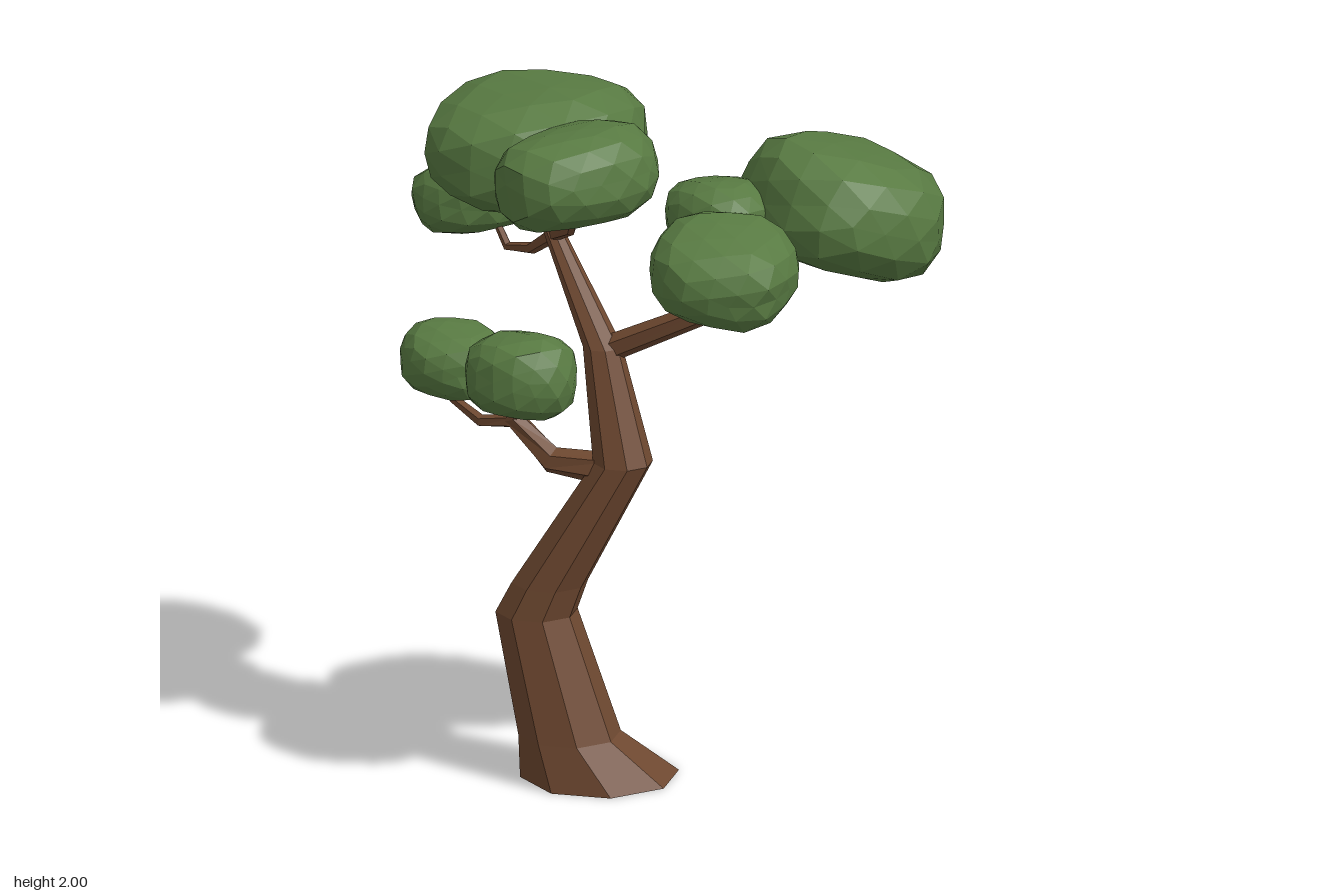
import * as THREE from 'three';

const bark = new THREE.MeshStandardMaterial({ color: 0x6e4830, flatShading: true });
const leaf = new THREE.MeshStandardMaterial({ color: 0x587a42, flatShading: true });

// Faceted limb through rings [x, y, z, radius]; level keeps every ring horizontal
function limb(name, rings, sides, level = false) {
  const points = rings.map(([x, y, z]) => new THREE.Vector3(x, y, z));
  const pos = [], index = [], n = rings.length;
  points.forEach((p, i) => {
    const t = level ? new THREE.Vector3(0, 1, 0)
      : points[Math.min(i + 1, n - 1)].clone().sub(points[Math.max(i - 1, 0)]).normalize();
    const u = new THREE.Vector3(0, 0, -1).cross(t).normalize();
    const v = t.clone().cross(u);
    for (let j = 0; j < sides; j++) {
      const a = (j / sides) * Math.PI * 2 + 0.31;
      const q = p.clone().addScaledVector(u, rings[i][3] * Math.cos(a)).addScaledVector(v, rings[i][3] * Math.sin(a));
      pos.push(q.x, q.y, q.z);
    }
  });
  for (let i = 0; i < n - 1; i++) {
    for (let j = 0; j < sides; j++) {
      const a = i * sides + j, b = i * sides + (j + 1) % sides;
      index.push(a, b, a + sides, b, b + sides, a + sides);
    }
  }
  // end caps
  const last = (n - 1) * sides;
  for (let j = 1; j < sides - 1; j++) index.push(0, j + 1, j, last, last + j, last + j + 1);
  const geo = new THREE.BufferGeometry();
  geo.setAttribute('position', new THREE.Float32BufferAttribute(pos, 3));
  geo.setIndex(index);
  geo.computeVertexNormals();
  const mesh = new THREE.Mesh(geo, bark);
  mesh.name = name;
  return mesh;
}

// Foliage pad: round from above, flattened top and bottom, slightly uneven
function pad(name, center, size, tiltX, tiltZ, seed) {
  const geo = new THREE.IcosahedronGeometry(1, 2);
  const p = geo.attributes.position, v = new THREE.Vector3();
  for (let i = 0; i < p.count; i++) {
    v.fromBufferAttribute(p, i);
    const bump = 1 + 0.03 * Math.sin(v.x * 5.1 + seed * 2.3) * Math.sin(v.y * 4.3 + seed) + 0.025 * Math.sin(v.z * 6.2 + seed * 1.7);
    const norm = Math.cbrt(Math.hypot(v.x, v.z) ** 3 + Math.abs(v.y) ** 3);
    v.multiplyScalar(bump / norm);
    p.setXYZ(i, v.x * size[0], v.y * size[1], v.z * size[2]);
  }
  geo.computeVertexNormals();
  const mesh = new THREE.Mesh(geo, leaf);
  mesh.name = name;
  mesh.position.set(...center);
  mesh.rotation.set(tiltX, 0, tiltZ);
  return mesh;
}

export function createModel() {
  const tree = new THREE.Group();
  tree.name = 'tree';

  // Crooked trunk with a flared foot
  tree.add(limb('trunk', [
    [-0.1, 0, 0.17, 0.228], [-0.12, 0.135, 0.26, 0.147], [-0.205, 0.49, 0.315, 0.118],
    [-0.175, 0.58, 0.29, 0.11], [-0.01, 0.955, 0.152, 0.086], [-0.1, 1.28, 0.16, 0.056],
    [-0.3, 1.58, 0.19, 0.03], [-0.33, 1.72, 0.19, 0.02],
  ], 8, true));

  // Branches and their twigs
  tree.add(limb('lowerBranch', [
    [-0.02, 0.93, 0.17, 0.05], [-0.18, 0.94, 0.28, 0.04], [-0.28, 1.05, 0.34, 0.03], [-0.25, 1.16, 0.33, 0.02],
  ], 6));
  tree.add(limb('lowerTwig', [
    [-0.26, 1.045, 0.335, 0.022], [-0.37, 1.025, 0.39, 0.018], [-0.49, 1.06, 0.4, 0.014], [-0.52, 1.14, 0.39, 0.01],
  ], 5));
  tree.add(limb('longBranch', [
    [-0.1, 1.265, 0.15, 0.04], [0.2, 1.44, -0.04, 0.032], [0.28, 1.5, -0.08, 0.028], [0.46, 1.7, -0.2, 0.02],
  ], 6));
  tree.add(limb('longBranchTwig', [
    [0.19, 1.435, -0.04, 0.028], [0.32, 1.5, 0.09, 0.022], [0.37, 1.6, 0.12, 0.018], [0.45, 1.71, 0.14, 0.014],
  ], 5));
  tree.add(limb('upperLeftTwig', [
    [-0.29, 1.57, 0.19, 0.024], [-0.38, 1.505, 0.21, 0.018], [-0.48, 1.485, 0.22, 0.014], [-0.58, 1.57, 0.21, 0.01],
  ], 5));
  tree.add(limb('upperRightTwig', [
    [-0.3, 1.565, 0.19, 0.022], [-0.13, 1.635, 0.25, 0.016], [-0.06, 1.74, 0.28, 0.01],
  ], 5));

  // Foliage: centre, half sizes, tilt about x and z
  [
    ['crownPad', [-0.39, 1.815, 0.18], [0.29, 0.175, 0.33], 0, 0.01],
    ['crownFrontPad', [-0.03, 1.835, 0.295], [0.2, 0.14, 0.25], 0.04, 0.17],
    ['outerLeftPad', [-0.65, 1.595, 0.205], [0.18, 0.105, 0.195], 0, 0.25],
    ['lowerOuterPad', [-0.53, 1.165, 0.38], [0.16, 0.1, 0.145], 0, -0.04],
    ['lowerInnerPad', [-0.235, 1.19, 0.345], [0.175, 0.12, 0.155], -0.08, 0.14],
    ['largePad', [0.505, 1.785, -0.255], [0.3, 0.18, 0.293], -0.32, -0.06],
    ['smallPad', [0.365, 1.78, 0.09], [0.165, 0.11, 0.14], 0, 0.08],
    ['rightFrontPad', [0.61, 1.715, 0.24], [0.215, 0.13, 0.21], 0.08, -0.22],
  ].forEach(([name, center, size, tx, tz], i) => tree.add(pad(name, center, size, tx, tz, i + 1)));

  return tree;
}
